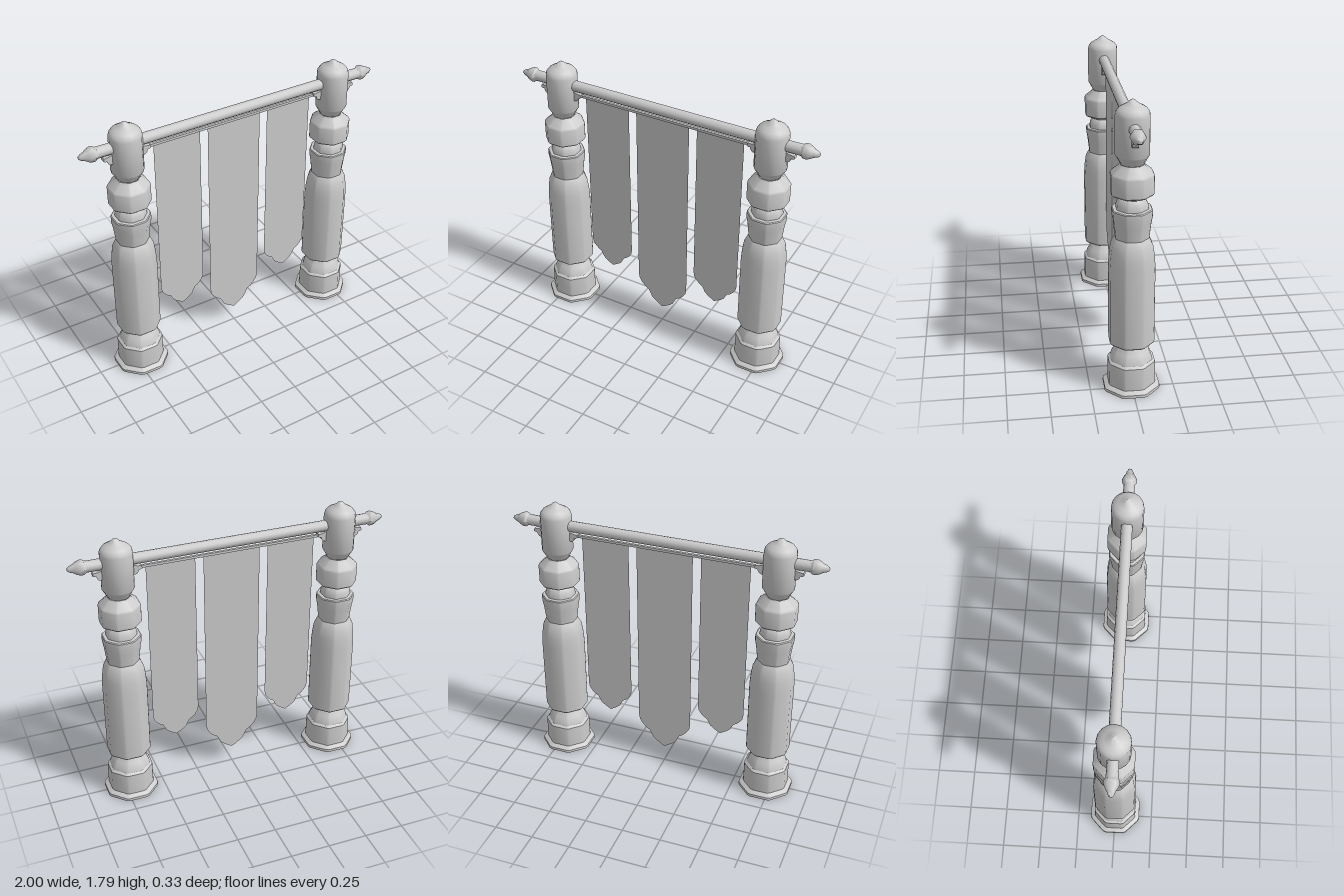
import * as THREE from 'three';
import { toCreasedNormals } from 'three/addons/utils/BufferGeometryUtils.js';

const material = new THREE.MeshStandardMaterial({ color: 0xcccccc, side: THREE.DoubleSide });
const POST_X = 0.709;
const ROD_Y = 1.642;

function add(parent, name, geometry) {
  const mesh = new THREE.Mesh(geometry, material);
  mesh.name = name;
  parent.add(mesh);
  return mesh;
}

const toPoints = (list) => list.map(([a, b]) => new THREE.Vector2(a, b));

// Octagonal turning with softened corners; profile is [apothem, height]
function octagonTurning(profile) {
  const geometry = new THREE.LatheGeometry(toPoints(profile), 16);
  const pos = geometry.attributes.position;
  const soft = 0.06;
  for (let v = 0; v < pos.count; v++) {
    const i = Math.floor(v / profile.length);
    const [apothem, y] = profile[v % profile.length];
    const angle = Math.PI / 8 + Math.floor(i / 2) * Math.PI / 4 + (i % 2 ? soft : -soft);
    const r = apothem / Math.cos(Math.PI / 8 - soft);
    pos.setXYZ(v, r * Math.sin(angle), y, r * Math.cos(angle));
  }
  return toCreasedNormals(geometry, 0.55);
}

function createPost() {
  const post = new THREE.Group();
  // Open-bottomed plinth with a waisted cushion
  add(post, 'plinth', octagonTurning([
    [0.165, 0], [0.164, 0.018], [0.145, 0.03], [0.138, 0.035], [0.136, 0.178],
    [0.122, 0.19], [0.115, 0.215], [0.1, 0.245], [0.08, 0.275], [0.076, 0.285],
  ]));
  // Long shaft rounding in at the top
  add(post, 'shaft', octagonTurning([
    [0.076, 0.285], [0.126, 0.305], [0.131, 0.312], [0.131, 0.8],
    [0.126, 0.87], [0.118, 0.93], [0.103, 0.965], [0.095, 0.98],
  ]));
  // Flared collar and its neck
  add(post, 'collar', octagonTurning([
    [0.095, 0.98], [0.105, 1.07], [0.112, 1.11], [0.113, 1.15], [0.108, 1.155],
    [0.09, 1.157], [0.087, 1.185], [0.076, 1.21], [0.068, 1.22],
  ]));
  add(post, 'ring', octagonTurning([
    [0.068, 1.22], [0.114, 1.243], [0.12, 1.25], [0.12, 1.36], [0.114, 1.372],
    [0.075, 1.405], [0.066, 1.42],
  ]));
  // Round head with a pointed dome
  add(post, 'head', toCreasedNormals(new THREE.LatheGeometry(toPoints([
    [0.066, 1.42], [0.092, 1.465], [0.098, 1.475], [0.098, 1.7], [0.094, 1.718],
    [0.08, 1.737], [0.055, 1.752], [0.033, 1.765], [0.015, 1.782], [0, 1.79],
  ]), 16), 0.7));
  return post;
}

// Small curved bracket pointing towards +x, starting at x = 0
function bracketGeometry() {
  const shape = new THREE.Shape();
  shape.moveTo(-0.02, 1.615);
  shape.lineTo(0.025, 1.6);
  shape.lineTo(0.052, 1.597);
  shape.lineTo(0.056, 1.58);
  shape.quadraticCurveTo(0.045, 1.572, 0.035, 1.575);
  shape.quadraticCurveTo(0.03, 1.55, 0.015, 1.547);
  shape.lineTo(-0.02, 1.545);
  shape.closePath();
  const geometry = new THREE.ExtrudeGeometry(shape, { depth: 0.036, bevelEnabled: false, curveSegments: 4 });
  return geometry.translate(0, 0, -0.018);
}

// Hanging cloth with a stepped, pointed lower end
function bannerGeometry(halfWidth, top, straightEnd, tip) {
  const edge = [[1, 0], [0.97, 0.16], [0.86, 0.31], [0.72, 0.43], [0.58, 0.5],
    [0.52, 0.6], [0.44, 0.74], [0.3, 0.84], [0.14, 0.93], [0, 1]];
  const right = edge.map(([u, d]) => [u * halfWidth, straightEnd - d * (straightEnd - tip)]);
  const left = right.slice(0, -1).reverse().map(([x, y]) => [-x, y]);
  const outline = [[-halfWidth, top], ...left.reverse(), ...right.reverse(), [halfWidth, top]];
  return new THREE.ShapeGeometry(new THREE.Shape(toPoints(outline)));
}

export function createModel() {
  const model = new THREE.Group();
  model.name = 'bannerStand';

  // Crossbar and the thin rail beneath it
  const bar = add(model, 'crossbar', new THREE.CylinderGeometry(0.034, 0.034, 1.8, 12, 1, true));
  bar.rotation.z = Math.PI / 2;
  bar.position.y = ROD_Y;
  add(model, 'bannerRail', new THREE.BoxGeometry(1.24, 0.016, 0.016)).position.y = 1.584;

  const bracket = bracketGeometry();
  const finial = toCreasedNormals(new THREE.LatheGeometry(toPoints([
    [0, 0.875], [0.034, 0.875], [0.035, 0.892], [0.045, 0.905], [0.045, 0.925],
    [0.038, 0.945], [0.025, 0.965], [0.018, 0.985], [0.01, 0.997], [0, 1],
  ]), 6), 1.1);

  for (const [side, s] of [['left', 1], ['right', -1]]) {
    const post = createPost();
    post.name = side + 'Post';
    post.position.x = s * POST_X;
    model.add(post);

    const tip = add(model, side + 'Finial', finial);
    tip.rotation.z = -s * Math.PI / 2;
    tip.position.y = ROD_Y;

    // One bracket on the outer and one on the inner face of the post
    for (const [place, dir] of [['Outer', s], ['Inner', -s]]) {
      const mesh = add(model, side + place + 'Bracket', bracket);
      mesh.position.x = s * POST_X + dir * 0.092;
      mesh.rotation.y = dir > 0 ? 0 : Math.PI;
    }

    add(model, side + 'Banner', bannerGeometry(0.153, 1.59, 0.505, 0.325)).position.x = s * 0.385;
  }
  add(model, 'centreBanner', bannerGeometry(0.18, 1.59, 0.335, 0.115));

  return model;
}
